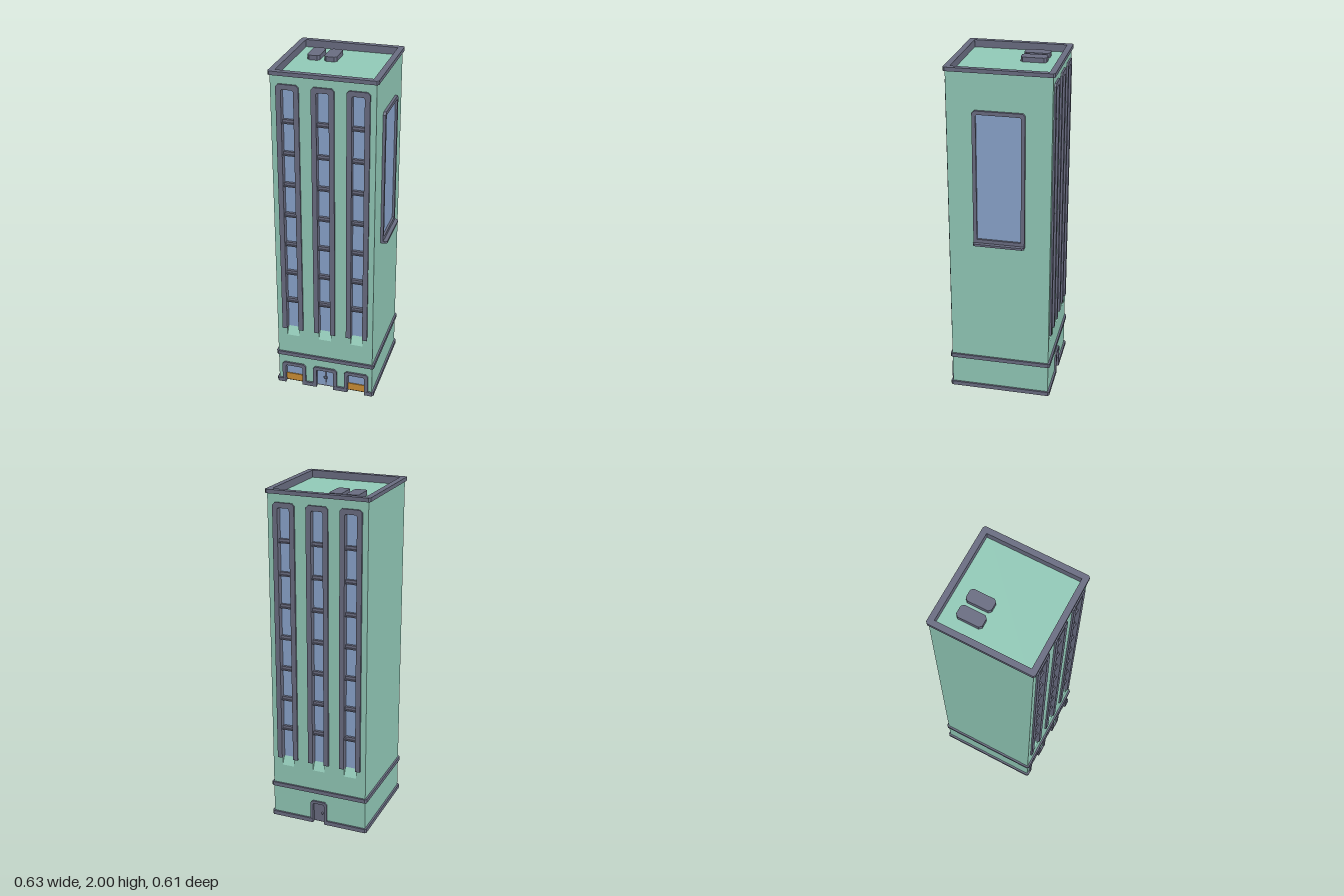
import * as THREE from 'three';

const paint = (name, color) => {
  const m = new THREE.MeshStandardMaterial({ color });
  m.name = name;
  return m;
};

export function createModel() {
  const green = paint('green wall', 0x92cab8);
  const grey = paint('slate trim', 0x6a6d82);
  const blue = paint('blue glass', 0x8aa4cc);
  const orange = paint('orange panel', 0xcc8f35);

  const H = 0.2925;      // half width of the walls
  const CORE = 0.265;    // depth of the recessed tower windows
  const SHOP = 0.277;    // depth of the recessed ground floor openings
  const TRIM = 0.3035;   // half width of the trim bands
  const FACE = 0.303;    // front of the window frames

  const root = new THREE.Group();
  root.name = 'building';
  const tower = new THREE.Group();
  tower.name = 'tower';
  tower.position.x = -0.0135;
  root.add(tower);

  const add = (parent, name, geo, mat, x = 0, y = 0, z = 0) => {
    const mesh = new THREE.Mesh(geo, mat);
    mesh.name = name;
    mesh.position.set(x, y, z);
    parent.add(mesh);
    return mesh;
  };
  const box = (parent, name, mat, x0, x1, y0, y1, z0, z1) =>
    add(parent, name, new THREE.BoxGeometry(x1 - x0, y1 - y0, z1 - z0), mat,
      (x0 + x1) / 2, (y0 + y1) / 2, (z0 + z1) / 2);
  const poly = (pts) => pts.map(([x, y]) => new THREE.Vector2(x, y));
  const extrude = (shape, depth) =>
    new THREE.ExtrudeGeometry(shape, { depth, bevelEnabled: false });

  // Rectangle outline with chamfered corners
  const octagon = (hx, hy, c) => poly([
    [-hx + c, -hy], [hx - c, -hy], [hx, -hy + c], [hx, hy - c],
    [hx - c, hy], [-hx + c, hy], [-hx, hy - c], [-hx, -hy + c]]);

  // Horizontal slab or ring from a plan shape
  const layer = (parent, name, shape, mat, y0, y1, x = 0, z = 0) => {
    const geo = extrude(shape, y1 - y0);
    geo.rotateX(-Math.PI / 2);
    return add(parent, name, geo, mat, x, y0, z);
  };
  const ring = (name, mat, outer, inner, chamfer, y0, y1) => {
    const shape = new THREE.Shape(octagon(outer, outer, chamfer));
    if (inner) shape.holes.push(new THREE.Path(octagon(inner, inner, 0.0001)));
    layer(tower, name, shape, mat, y0, y1);
  };

  // Frame with chamfered top corners and an open bottom
  const arch = (parent, name, x, hw, w, y0, y1, z0, z1) => {
    const i = hw - w, c = 0.014, d = 0.007, t = y1 - w;
    const shape = new THREE.Shape(poly([
      [-hw, y0], [-i, y0], [-i, t - d], [-i + d, t], [i - d, t], [i, t - d],
      [i, y0], [hw, y0], [hw, y1 - c], [hw - c, y1], [-hw + c, y1], [-hw, y1 - c]]));
    add(parent, name, extrude(shape, z1 - z0), grey, x, 0, z0);
  };

  // Core and roof
  const roofY = 1.958;
  box(tower, 'core', green, -H, H, 0.006, roofY, -CORE + 0.002, CORE - 0.002);
  ring('parapet', green, H, 0.276, 0.0001, roofY - 0.01, 1.98);
  ring('parapetLining', grey, 0.28, 0.27, 0.0001, roofY - 0.01, 1.98);
  ring('cornice', grey, TRIM, 0.27, 0.01, 1.978, 2);
  ring('floorBand', grey, TRIM, 0.28, 0.01, 0.199, 0.223);
  for (const x of [-0.16, -0.0615]) {
    layer(tower, 'roofUnit', new THREE.Shape(octagon(0.0365, 0.0735, 0.014)),
      grey, roofY - 0.005, 1.985, x, -0.1235);
  }

  // Ground floor openings: centre and half width
  const frontOpenings = [-0.195, 0, 0.195].map((x) => ({ x, hw: 0.053 }));
  const backOpenings = [{ x: 0, hw: 0.036 }];

  // Base plate, notched at the openings
  const notches = (list, z, depth) => list.flatMap(({ x, hw }) =>
    [[x - hw, z], [x - hw, depth], [x + hw, depth], [x + hw, z]]);
  const c = 0.01;
  const plan = [
    [-TRIM, -TRIM + c], [-TRIM + c, -TRIM],
    ...notches(frontOpenings, -TRIM, -SHOP + 0.002),
    [TRIM - c, -TRIM], [TRIM, -TRIM + c], [TRIM, TRIM - c], [TRIM - c, TRIM],
    ...notches(backOpenings, TRIM, SHOP - 0.002).reverse(),
    [-TRIM + c, TRIM], [-TRIM, TRIM - c]];
  layer(tower, 'basePlate', new THREE.Shape(poly(plan)), grey, 0, 0.025);

  // Facade with three recessed window strips
  const facade = (name, openings) => {
    const g = new THREE.Group();
    g.name = name;
    tower.add(g);
    const doorTop = 0.126;
    const wall = new THREE.Shape(poly([[-H, 0.006],
      ...openings.flatMap(({ x, hw }) => [[x - hw - 0.004, 0.006], [x - hw - 0.004, doorTop],
        [x + hw + 0.004, doorTop], [x + hw + 0.004, 0.006]]),
      [H, 0.006], [H, roofY], [-H, roofY]]));
    const strips = [-0.196, 0, 0.196];
    for (const x of strips) {
      wall.holes.push(new THREE.Path(poly([[x - 0.037, 0.345], [x - 0.037, 1.907],
        [x + 0.037, 1.907], [x + 0.037, 0.345]])));
    }
    add(g, 'wall', extrude(wall, H - CORE + 0.005), green, 0, 0, CORE - 0.005);

    for (const x of strips) {
      arch(g, 'stripFrame', x, 0.064, 0.029, 0.395, 1.932, CORE, FACE);
      box(g, 'stripGlass', blue, x - 0.037, x + 0.037, 0.39, 1.908, CORE - 0.004, CORE + 0.002);
      for (let i = 0; i < 7; i++) {
        const y = 0.588 + i * 0.188;
        box(g, 'crossbar', grey, x - 0.036, x + 0.036, y - 0.011, y + 0.011, CORE, 0.283);
        box(g, 'crossbarLedge', grey, x - 0.036, x + 0.036, y - 0.011, y - 0.004, CORE, 0.292);
      }
      // Sloped sill running from the glass out to the wall
      const dy = 0.055, dz = H - CORE;
      const sill = add(g, 'slopedSill', new THREE.PlaneGeometry(0.074, Math.hypot(dy, dz)),
        green, x, 0.345 + dy / 2, CORE + dz / 2);
      sill.rotation.x = -Math.atan2(dz, dy);
    }
    return g;
  };

  // Front: two shop windows beside a double door
  const front = facade('frontFacade', frontOpenings);
  for (const { x, hw } of frontOpenings) {
    arch(front, 'entranceFrame', x, hw + 0.021, 0.021, 0.003, 0.146, CORE, FACE);
    box(front, 'entranceGlass', blue, x - hw - 0.003, x + hw + 0.003, 0.008, 0.128, SHOP - 0.008, SHOP);
    if (x !== 0) {
      box(front, 'shopPanel', orange, x - hw, x + hw, 0.008, 0.055, SHOP - 0.002, SHOP + 0.006);
    } else {
      box(front, 'doorStile', grey, -0.003, 0.003, 0.008, 0.125, SHOP, SHOP + 0.004);
      add(front, 'doorHandle', new THREE.TorusGeometry(0.011, 0.0025, 6, 8), grey, 0, 0.067, SHOP + 0.006);
    }
  }

  // Back: service door
  const back = facade('backFacade', backOpenings);
  back.rotation.y = Math.PI;
  arch(back, 'serviceDoorFrame', 0, 0.052, 0.016, 0.003, 0.146, CORE, FACE);
  box(back, 'serviceDoor', grey, -0.039, 0.039, 0.006, 0.131, SHOP - 0.01, SHOP + 0.006);
  add(back, 'doorKnob', new THREE.SphereGeometry(0.007, 8, 6), grey, 0.02, 0.067, 0.29);

  // Large framed window on the left side
  const side = new THREE.Group();
  side.name = 'sideWindow';
  side.rotation.y = Math.PI / 2;
  tower.add(side);
  arch(side, 'sideFrame', 0, 0.147, 0.021, 0.98, 1.77, H - 0.01, 0.308);
  box(side, 'sideFrameBottom', grey, -0.13, 0.13, 0.98, 1.008, H - 0.01, 0.308);
  box(side, 'sideGlass', blue, -0.128, 0.128, 1, 1.752, H - 0.004, H + 0.003);
  layer(side, 'sideSill', new THREE.Shape(octagon(0.147, 0.025, 0.01)), grey, 0.974, 0.987, 0, 0.3055);

  return root;
}
